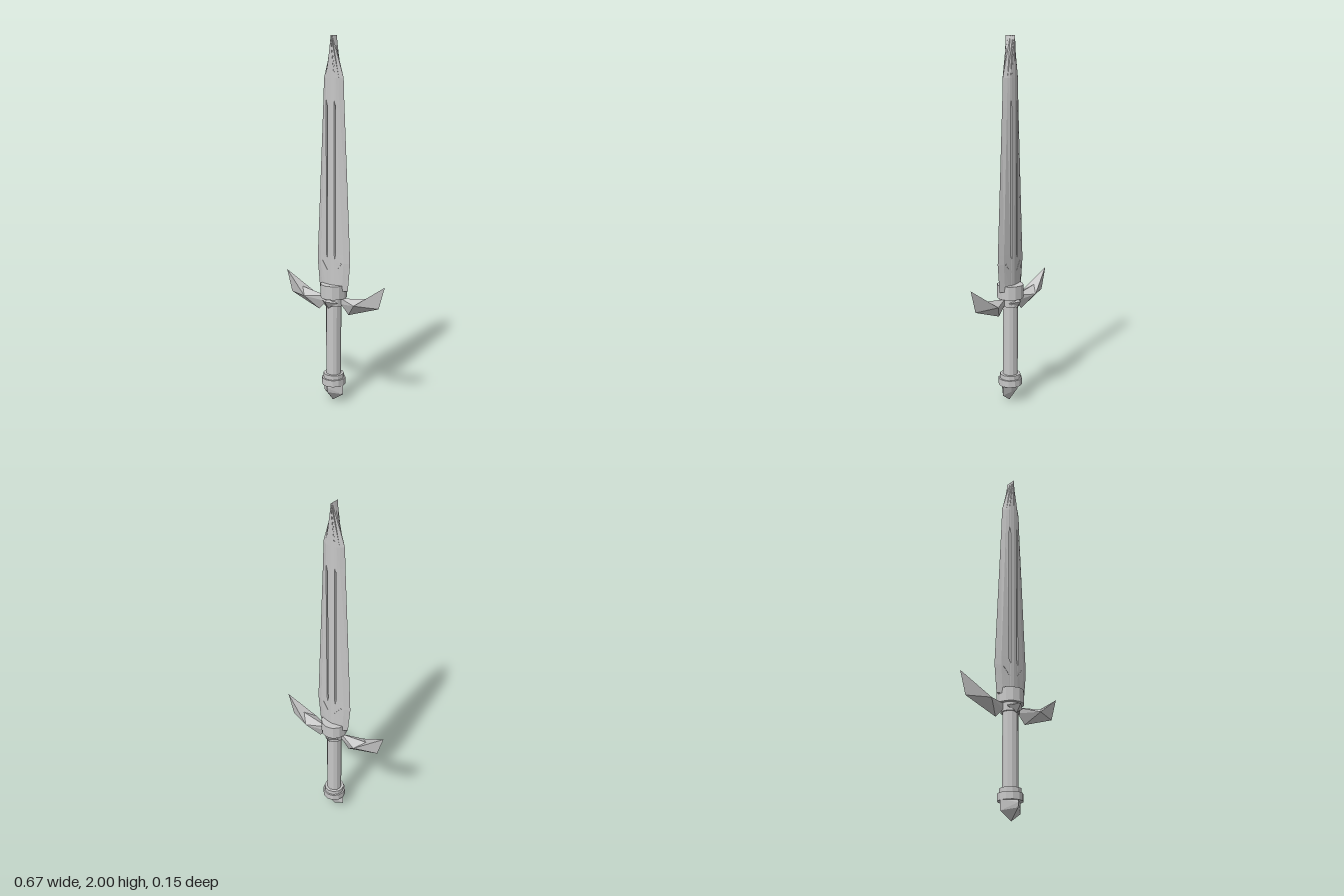
import * as THREE from 'three';
import { ConvexGeometry } from 'three/addons/geometries/ConvexGeometry.js';

const V = (x, y, z) => new THREE.Vector3(x, y, z);

// Triangle soup to a hard-edged geometry
function facets(points) {
  const g = new THREE.BufferGeometry().setFromPoints(points);
  g.computeVertexNormals();
  return g;
}

// Blade: one faceted cross-section, narrowed in x only so the tip is a chisel edge
function bladeGeometry() {
  // y, half width, groove depth
  const levels = [
    [0.645, 0.095, 0], [0.80, 0.11, 0], [0.82, 0.109, 0], [0.85, 0.108, 0.009],
    [1.63, 0.07, 0.009], [1.67, 0.068, 0], [1.783, 0.064, 0], [2.0, 0, 0],
  ];
  const rings = levels.map(([y, w, d]) => {
    const k = w === 0 ? 0 : 1;
    const right = [
      [w, 0], [w * 0.7, 0.016], [0.031 * k, 0.025],
      [0.026 * k, 0.0255 - d], [0.021 * k, 0.027], [0, 0.03],
    ];
    const front = [...right, ...right.slice(0, -1).reverse().map(([x, z]) => [-x, z])];
    const back = front.slice(1, -1).reverse().map(([x, z]) => [x, -z]);
    return [...front, ...back].map(([x, z]) => V(x, y, z));
  });
  const tris = [];
  const n = rings[0].length;
  for (let j = 0; j < n; j++) {
    const q = (j + 1) % n;
    for (let i = 0; i < rings.length - 1; i++) {
      const lo = rings[i], hi = rings[i + 1];
      tris.push(lo[j], hi[j], hi[q], lo[j], hi[q], lo[q]);
    }
    tris.push(V(0, levels[0][0], 0), rings[0][j], rings[0][q]);
  }
  return facets(tris);
}

// Guard wing: a bent outline fanned to a ridge point on each side
function wingGeometry() {
  const outline = [
    [0.05, 0.598], [0.05, 0.565], [0.10, 0.513],
    [0.296, 0.582], [0.333, 0.706], [0.219, 0.624],
  ].map(([x, y]) => V(x, y, 0));
  const tris = [];
  outline.forEach((a, i) => {
    const b = outline[(i + 1) % outline.length];
    tris.push(V(0.168, 0.588, 0.05), a, b, V(0.168, 0.588, -0.05), b, a);
  });
  return facets(tris);
}

export function createModel() {
  const model = new THREE.Group();
  model.name = 'sword';
  const steel = new THREE.MeshStandardMaterial({ color: 0xc8c8c8 });
  steel.name = 'grey steel';

  const body = new THREE.Group();
  body.name = 'swordBody';
  body.position.z = -0.005;
  model.add(body);

  const add = (name, geometry) => {
    const mesh = new THREE.Mesh(geometry, steel);
    mesh.name = name;
    body.add(mesh);
    return mesh;
  };
  const drum = (name, r, y0, y1) => {
    const g = new THREE.CylinderGeometry(r, r, y1 - y0, 12).toNonIndexed();
    g.computeVertexNormals();
    add(name, g).position.y = (y0 + y1) / 2;
  };

  add('blade', bladeGeometry());

  // Slanted marks at the foot of the blade, on both faces
  for (const face of [1, -1]) {
    for (const side of [1, -1]) {
      const mark = add('bladeMark', new THREE.BoxGeometry(0.066, 0.008, 0.006));
      mark.position.set(side * 0.042, 0.773, face * 0.021);
      mark.rotation.set(0, side * face * 0.16, side * 0.9);
    }
  }

  // Guard: collar, neck, wings and pointed bosses
  drum('collar', 0.073, 0.6, 0.675);
  drum('neck', 0.052, 0.555, 0.6);
  const wing = wingGeometry();
  add('leftWing', wing);
  add('rightWing', wing).rotation.y = Math.PI;
  const boss = new ConvexGeometry([
    V(-0.053, 0.578, 0.035), V(0.053, 0.578, 0.035), V(0, 0.6, 0.04),
    V(0, 0.545, 0.05), V(0, 0.588, 0.081), V(0, 0.57, 0.0),
  ]);
  add('frontBoss', boss);
  add('backBoss', boss).rotation.y = Math.PI;
  body.getObjectByName('backBoss').scale.z = 0.9;

  // Grip and stepped end rings
  drum('grip', 0.042, 0.13, 0.6);
  drum('upperRing', 0.057, 0.13, 0.16);
  drum('lowerRing', 0.066, 0.097, 0.135);

  // Pommel: a faceted wedge, flat at the back
  add('pommel', new ConvexGeometry([
    V(-0.066, 0.1, 0), V(0.066, 0.1, 0), V(-0.066, 0.045, 0), V(0.066, 0.045, 0),
    V(0, 0.1, 0.056), V(0, 0.085, 0.062), V(0, 0.06, 0.057), V(0, 0, 0.006),
    V(0, 0.1, -0.01), V(0, 0.05, -0.01),
  ]));

  return model;
}
